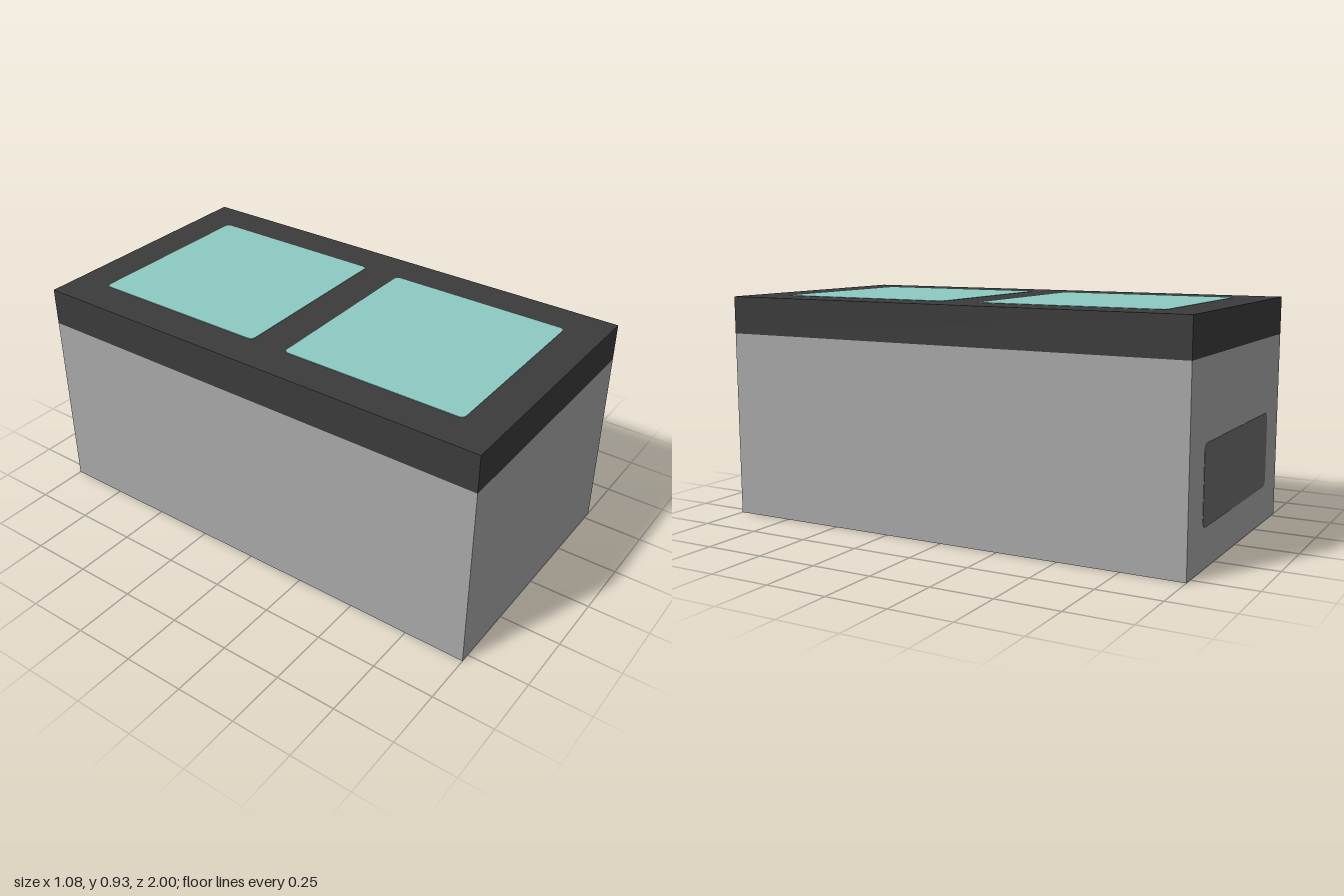
import * as THREE from 'three';

const U = 1 / 13; // modelling unit
const mat = (name, color) => {
  const m = new THREE.MeshStandardMaterial({ color });
  m.name = name;
  return m;
};

// Thin rounded rectangle, centred, with its back on z = 0 and facing +z
function roundedPlate(w, h, r) {
  const x = w / 2, y = h / 2;
  const s = new THREE.Shape();
  s.moveTo(-x + r, -y);
  s.lineTo(x - r, -y);
  s.absarc(x - r, -y + r, r, -Math.PI / 2, 0);
  s.lineTo(x, y - r);
  s.absarc(x - r, y - r, r, 0, Math.PI / 2);
  s.lineTo(-x + r, y);
  s.absarc(-x + r, y - r, r, Math.PI / 2, Math.PI);
  s.lineTo(-x, -y + r);
  s.absarc(-x + r, -y + r, r, Math.PI, Math.PI * 1.5);
  return new THREE.ExtrudeGeometry(s, { depth: 0.002, bevelEnabled: false, curveSegments: 4 });
}

export function createModel() {
  const model = new THREE.Group();
  const bodyGrey = mat('body grey', 0xa8a8a8);
  const frameDark = mat('frame dark grey', 0x3b3b3b);
  const panelGrey = mat('panel grey', 0x6d6d6d);
  const glassTeal = mat('glass teal', 0x8ccac3);

  const add = (name, geometry, material, x, y, z) => {
    const mesh = new THREE.Mesh(geometry, material);
    mesh.name = name;
    mesh.position.set(x, y, z);
    model.add(mesh);
    return mesh;
  };

  // Box body and the dark top frame
  add('body', new THREE.BoxGeometry(14 * U, 10 * U, 26 * U), bodyGrey, 0, 5 * U, 0);
  add('topFrame', new THREE.BoxGeometry(14 * U, 2 * U, 26 * U), frameDark, 0, 11 * U, 0);

  // Two square windows set in the top
  for (const [name, side] of [['frontWindow', 1], ['backWindow', -1]]) {
    const pane = add(name, roundedPlate(10 * U, 10 * U, 0.02), glassTeal, 0, 12 * U, side * 6 * U);
    pane.rotation.x = -Math.PI / 2;
  }

  // Rounded panel on the back
  const panel = add('backPanel', roundedPlate(10 * U, 4 * U, 0.03), panelGrey, 0, 4 * U, -1);
  panel.rotation.y = Math.PI;
  // Keep the plate within the overall length
  panel.position.z += 0.0005;

  return model;
}
